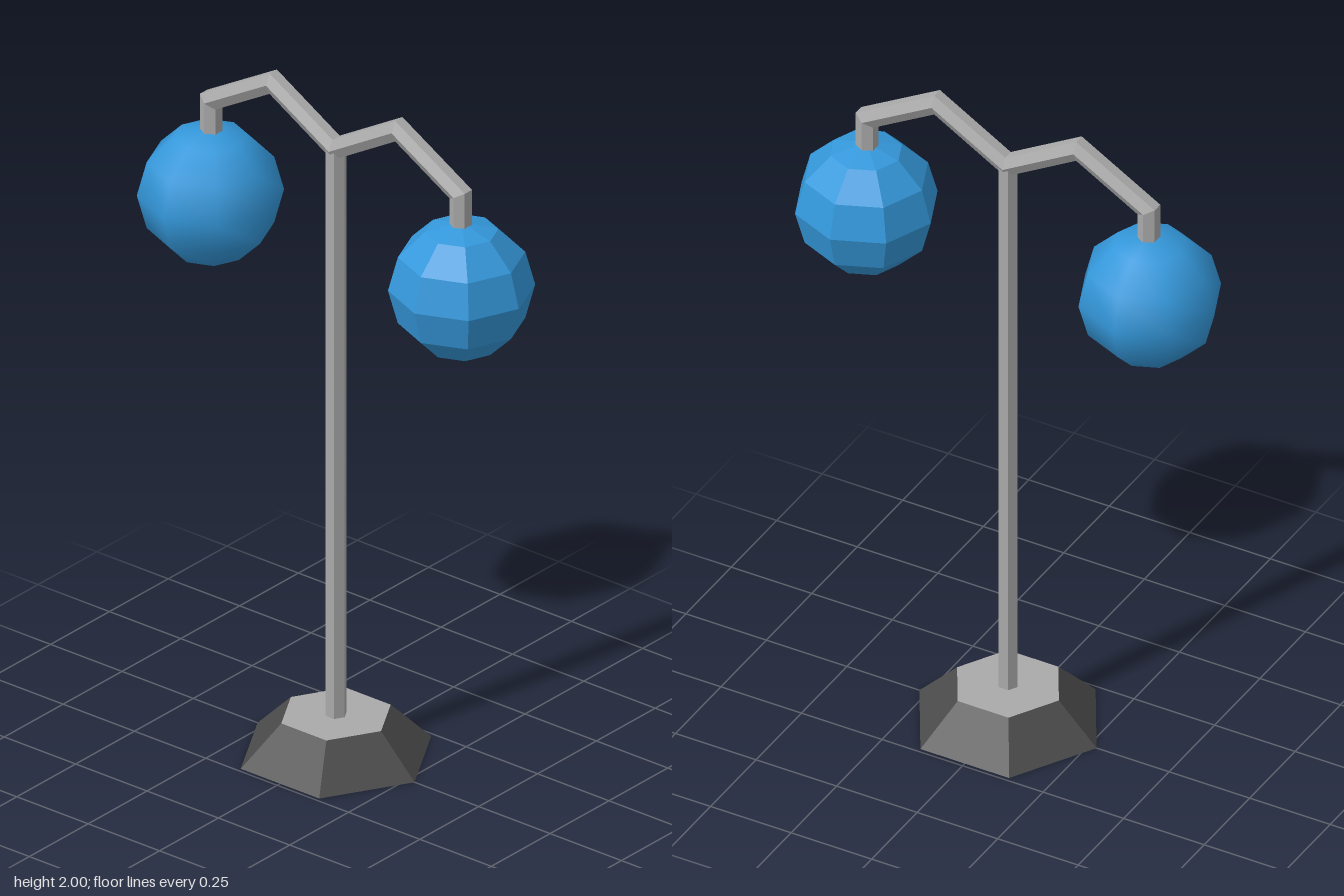
import * as THREE from 'three';

// Faceted copy of a geometry: every triangle gets its own normal
function faceted(geometry) {
  const flat = geometry.index ? geometry.toNonIndexed() : geometry;
  flat.computeVertexNormals();
  return flat;
}

// Six-sided bar swept along a [z, y] path with mitred corners
function mitredBar(path, radius) {
  const sides = 6, positions = [], index = [];
  const direction = (a, b) => new THREE.Vector2(b[0] - a[0], b[1] - a[1]).normalize();
  path.forEach((point, i) => {
    const before = direction(path[Math.max(i - 1, 0)], path[Math.max(i, 1)]);
    const last = path.length - 1;
    const after = direction(path[Math.min(i, last - 1)], path[Math.min(i + 1, last)]);
    const tangent = before.clone().add(after).normalize();
    const stretch = 1 / tangent.dot(before);
    for (let k = 0; k < sides; k++) {
      const angle = (k / sides) * Math.PI * 2;
      const offset = Math.sin(angle) * radius * stretch;
      positions.push(Math.cos(angle) * radius, point[1] + tangent.x * offset, point[0] - tangent.y * offset);
      if (i > 0) {
        const n = (k + 1) % sides, a = (i - 1) * sides, b = i * sides;
        index.push(a + k, b + n, a + n, a + k, b + k, b + n);
      }
    }
  });
  // End caps
  const end = (path.length - 1) * sides;
  for (let k = 1; k < sides - 1; k++) {
    index.push(0, k, k + 1, end, end + k + 1, end + k);
  }
  const geometry = new THREE.BufferGeometry();
  geometry.setAttribute('position', new THREE.Float32BufferAttribute(positions, 3));
  geometry.setIndex(index);
  return faceted(geometry);
}

export function createModel() {
  const group = new THREE.Group();
  const metal = new THREE.MeshStandardMaterial({ name: 'light grey metal', color: 0xaaaaaa, side: THREE.DoubleSide });
  const dark = new THREE.MeshStandardMaterial({ name: 'dark grey base', color: 0x4b4b4b, side: THREE.DoubleSide });
  const blue = new THREE.MeshStandardMaterial({ name: 'blue globe', color: 0x3498db });

  const add = (name, geometry, material, y = 0, z = 0) => {
    const mesh = new THREE.Mesh(geometry, material);
    mesh.name = name;
    mesh.position.set(0, y, z);
    group.add(mesh);
  };

  // Hollow hexagonal foot with a light top plate
  const footHeight = 0.117;
  add('footSides', faceted(new THREE.CylinderGeometry(0.158, 0.275, footHeight, 6, 1, true)), dark, footHeight / 2);
  add('footTop', new THREE.CircleGeometry(0.158, 6, Math.PI / 2).rotateX(-Math.PI / 2), metal, footHeight);

  // Post, poking slightly through the foot plate
  const postBottom = 0.09, postTop = 1.84;
  add('post', faceted(new THREE.CylinderGeometry(0.03, 0.03, postTop - postBottom, 6)), metal, (postTop + postBottom) / 2);

  // Both bent arms in one bar, meeting on the post
  const arm = [[0.22, 1.969], [0.437, 1.843], [0.437, 1.72]];
  const mirrored = arm.map(([z, y]) => [-z, y]).reverse();
  add('arms', mitredBar([...mirrored, [0, 1.84], ...arm], 0.031), metal);

  // Globes: front one faceted, back one smooth
  const globe = new THREE.SphereGeometry(0.2, 8, 6);
  add('frontGlobe', faceted(globe), blue, 1.56, 0.44);
  add('backGlobe', globe, blue, 1.56, -0.44);

  return group;
}
